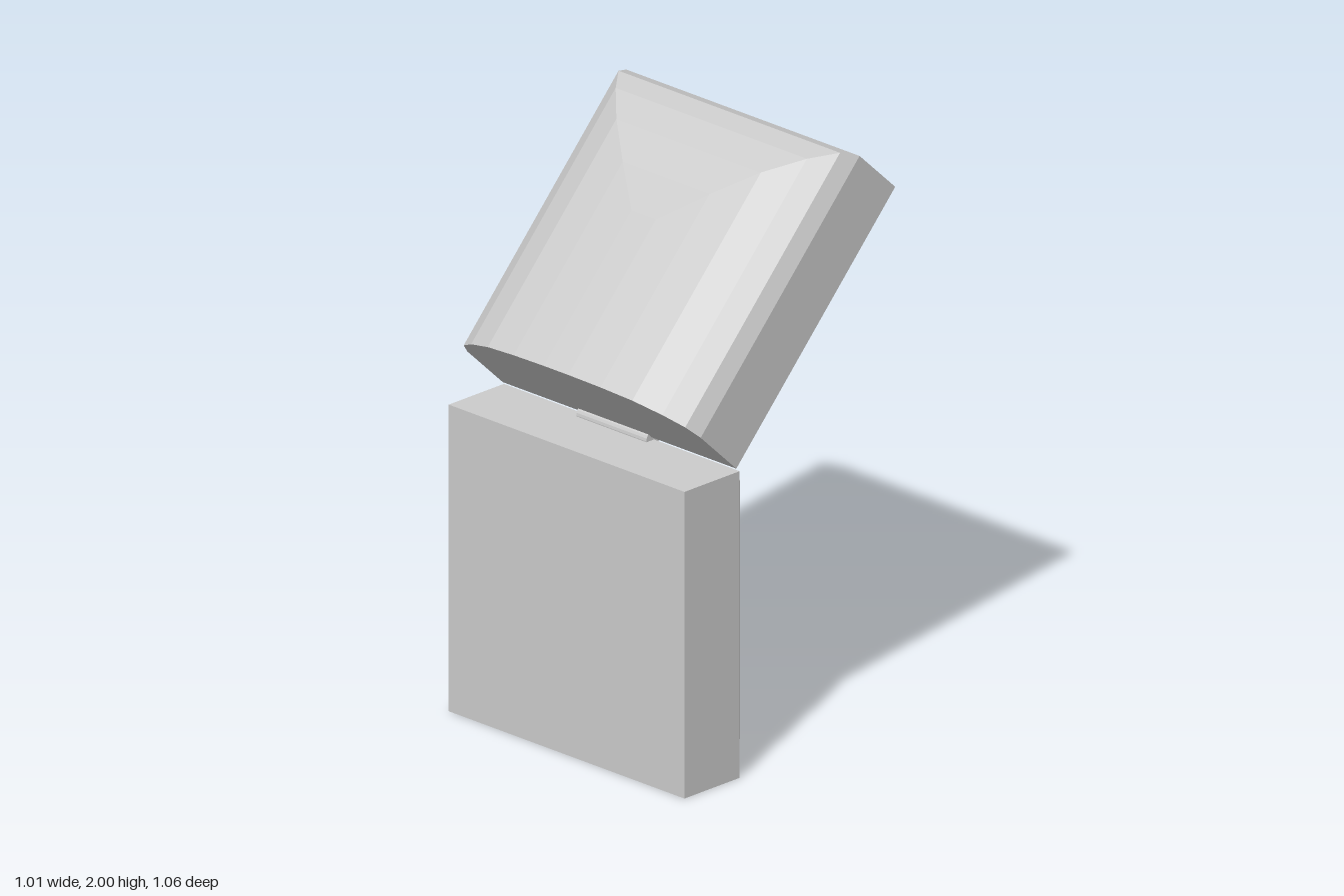
import * as THREE from 'three';

const material = new THREE.MeshStandardMaterial({ color: 0xcccccc, flatShading: true });

function add(parent, name, geometry, x = 0, y = 0, z = 0) {
  const mesh = new THREE.Mesh(geometry, material);
  mesh.name = name;
  mesh.position.set(x, y, z);
  parent.add(mesh);
  return mesh;
}

// Solid lofted through rectangular rings [u0, u1, halfZ, height]
function loftRings(rings) {
  const corners = rings.map(([u0, u1, h, n]) => [[u0, n, -h], [u0, n, h], [u1, n, h], [u1, n, -h]]);
  const pos = [];
  for (let i = 0; i < corners.length - 1; i++) {
    for (let j = 0; j < 4; j++) {
      const k = (j + 1) % 4;
      const a = corners[i][j], b = corners[i][k], c = corners[i + 1][k], d = corners[i + 1][j];
      pos.push(...a, ...b, ...c, ...a, ...c, ...d);
    }
  }
  const geometry = new THREE.BufferGeometry();
  geometry.setAttribute('position', new THREE.Float32BufferAttribute(pos, 3));
  geometry.computeVertexNormals();
  return geometry;
}

// Lid: hollow dish inside, vault with one square end outside
function lidGeometry() {
  const dish = [[0, 0], [0.025, 0.035], [0.09, 0.072], [0.17, 0.1], [0.28, 0.115], [0.37, 0.12], [0.42, 0.12]];
  const vault = [[0, 0], [0, 0.222], [0.027, 0.281], [0.095, 0.329], [0.2, 0.371], [0.33, 0.389], [0.47, 0.396], [0.525, 0.396]];
  const inner = dish.reverse().map(([d, n]) => {
    const du = d * 0.364 / 0.42;
    return [0.22 + du, 0.948 - du, 0.42 - d, n];
  });
  const outer = vault.map(([d, n]) => [0, 1.05 - d, 0.525 - d, n]);
  return loftRings([...inner, ...outer]);
}

// Bowed panel section, optionally notched for the slot, extruded upwards
function panelGeometry(height, notched) {
  const half = [[-0.205, 0.445], [-0.125, 0.445], [-0.107, 0.435], [-0.09, 0.38], [-0.078, 0.3], [-0.069, 0.22], [-0.065, 0.085]];
  if (notched) half.push([-0.115, 0.085]);
  const mirrored = half.map(([x, z]) => [x, -z]).reverse();
  const shape = new THREE.Shape([...half, ...mirrored].map(([x, z]) => new THREE.Vector2(x, z)));
  return new THREE.ExtrudeGeometry(shape, { depth: height, bevelEnabled: false }).rotateX(-Math.PI / 2);
}

export function createModel() {
  const model = new THREE.Group();
  model.name = 'switchBox';

  add(model, 'backBox', new THREE.BoxGeometry(0.25, 1.055, 1.06), -0.33, 0.5275, 0);

  // Front panel with a recessed vertical slot
  const panel = new THREE.Group();
  panel.name = 'frontPanel';
  model.add(panel);
  add(panel, 'panelBottom', panelGeometry(0.07, false), 0, 0.08, 0);
  add(panel, 'panelSlot', panelGeometry(0.755, true), 0, 0.15, 0);
  add(panel, 'panelTop', panelGeometry(0.065, false), 0, 0.905, 0);

  // Switch hub and lever
  const hub = new THREE.CylinderGeometry(0.08, 0.08, 0.166, 32).rotateX(Math.PI / 2);
  add(model, 'switchHub', hub, -0.085, 0.54, 0);
  const arm = new THREE.Shape();
  arm.moveTo(0, -0.02);
  arm.lineTo(0.305, -0.02);
  arm.absarc(0.305, 0, 0.02, -Math.PI / 2, Math.PI / 2, false);
  arm.lineTo(0, 0.02);
  const armGeometry = new THREE.ExtrudeGeometry(arm, { depth: 0.05, bevelEnabled: false, curveSegments: 8 });
  armGeometry.translate(0, 0, -0.025);
  add(model, 'switchLever', armGeometry, -0.085, 0.54, 0).rotation.z = Math.PI / 4;

  // Hinge pin and raised lid
  const pin = new THREE.CylinderGeometry(0.03, 0.03, 0.315, 20).rotateX(Math.PI / 2);
  add(model, 'hinge', pin, -0.21, 1.058, -0.0125);
  add(model, 'lid', lidGeometry(), -0.215, 1.065, 0).rotation.z = 0.815;

  return model;
}
